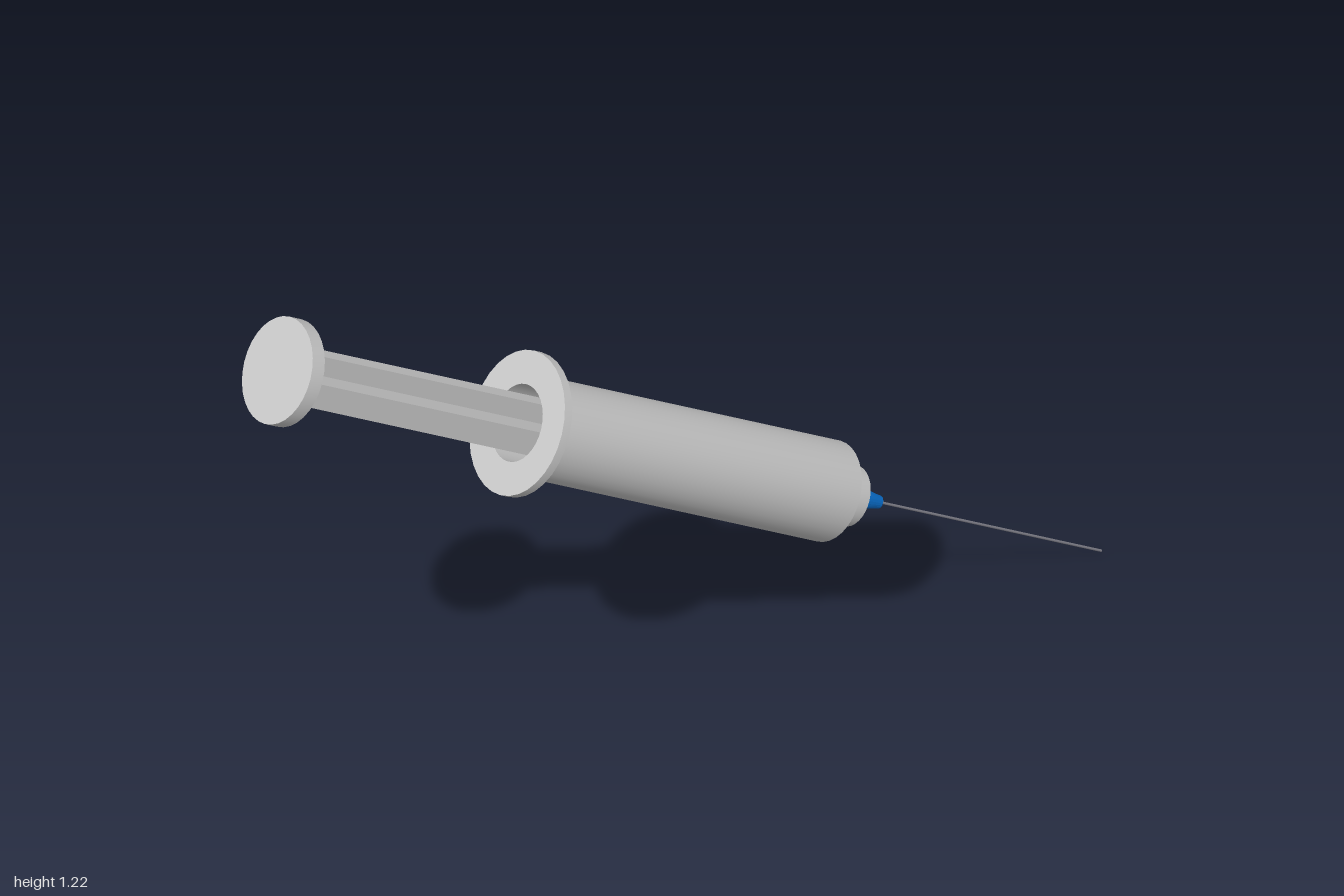
import * as THREE from 'three';
import { toCreasedNormals } from 'three/addons/utils/BufferGeometryUtils.js';

export function createModel() {
  const model = new THREE.Group();
  model.name = 'syringe';

  const mat = (name, color) => {
    const m = new THREE.MeshStandardMaterial({ color });
    m.name = name;
    return m;
  };
  const plastic = mat('greyPlastic', 0xcccccc);
  const blue = mat('blueHub', 0x0a74d6);
  const steel = mat('needleSteel', 0x80808a);

  // Everything is built along local +y, measured from the needle tip, then tilted.
  const axis = new THREE.Group();
  axis.name = 'tiltedBody';
  axis.position.x = 1;
  axis.rotation.z = Math.PI / 3;
  model.add(axis);

  const add = (name, geometry, material, y = 0) => {
    const mesh = new THREE.Mesh(geometry, material);
    mesh.name = name;
    mesh.position.y = y;
    axis.add(mesh);
    return mesh;
  };
  // Turned part with sharp profile corners; points are [radius, distance from tip]
  const turned = (name, profile, material, sides = 32) => {
    const points = profile.map(([r, t]) => new THREE.Vector2(r, t));
    return add(name, toCreasedNormals(new THREE.LatheGeometry(points, sides), 0.45), material);
  };

  // Hollow barrel with front collar, shoulder and finger flange
  turned('barrel', [
    [0, 0.71], [0.053, 0.71], [0.053, 0.682], [0.065, 0.682], [0.065, 0.714],
    [0.108, 0.742], [0.108, 1.57], [0.155, 1.57], [0.155, 1.59],
    [0.083, 1.59], [0.083, 0.77], [0, 0.77],
  ], plastic);

  // Plunger: thumb disc, crossed ribs and the stopper inside the barrel
  turned('thumbDisc', [[0, 2.21], [0.115, 2.21], [0.115, 2.243], [0, 2.243]], plastic);
  const ribStart = 1.4, ribEnd = 2.215;
  const ribLength = ribEnd - ribStart, ribMid = (ribStart + ribEnd) / 2;
  add('plungerRibUpright', new THREE.BoxGeometry(0.12, ribLength, 0.033), plastic, ribMid);
  add('plungerRibCross', new THREE.BoxGeometry(0.033, ribLength, 0.12), plastic, ribMid);
  turned('stopper', [[0, 1.36], [0.082, 1.36], [0.082, 1.41], [0, 1.41]], plastic);

  // Tapered needle hub
  turned('needleHub', [
    [0, 0.605], [0.014, 0.605], [0.016, 0.62], [0.025, 0.665], [0.025, 0.712], [0, 0.712],
  ], blue, 20);

  // Needle
  add('needle', new THREE.CylinderGeometry(0.0028, 0.0028, 0.62, 10), steel, 0.31);

  return model;
}
